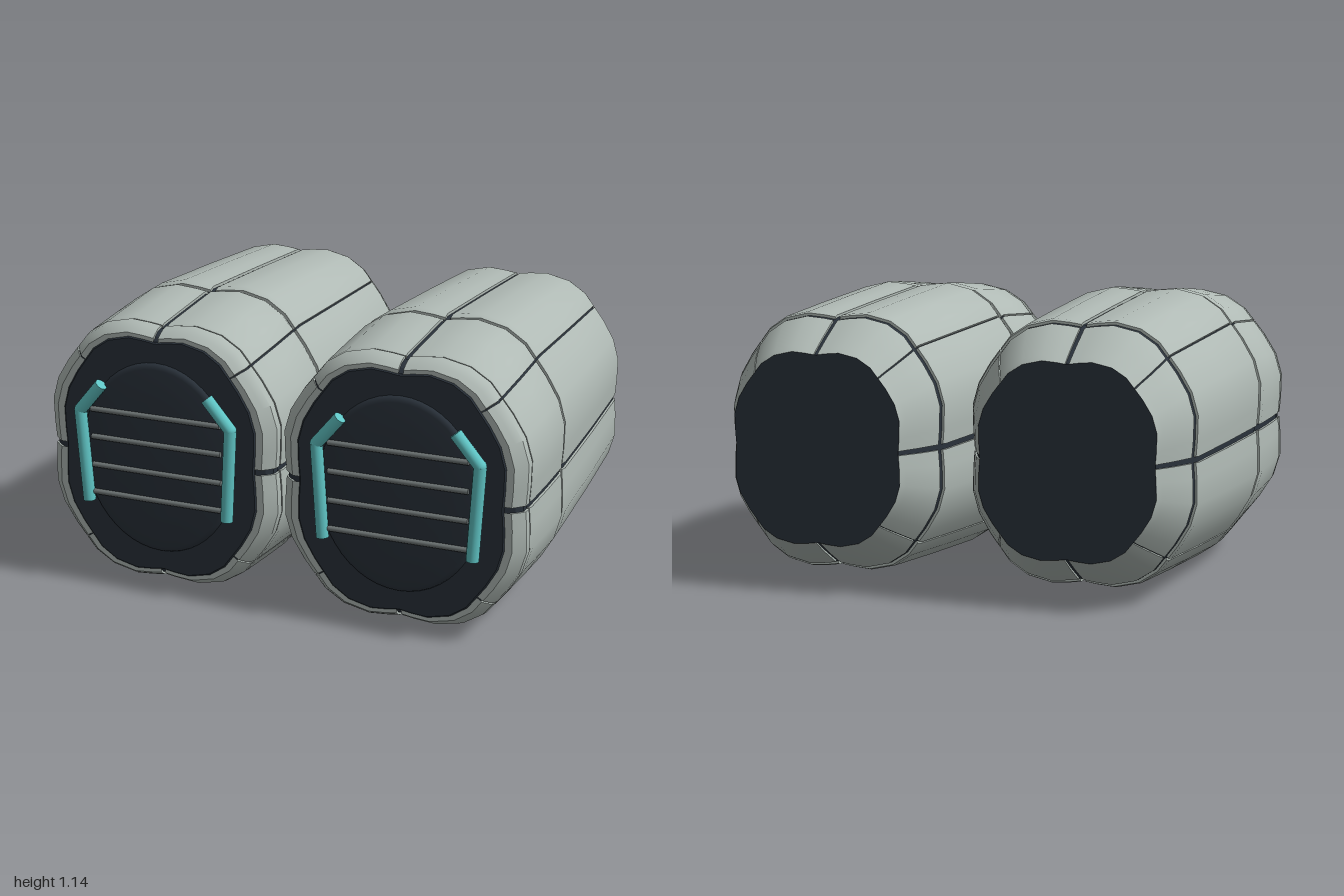
import * as THREE from 'three';
import { toCreasedNormals } from 'three/addons/utils/BufferGeometryUtils.js';

const mat = (name, color) => {
  const m = new THREE.MeshStandardMaterial({ color });
  m.name = name;
  return m;
};

// Two shell panels of a quarter outline, from top centre round to the side; ends tuck inwards
const UPPER = [[.022, .95], [.022, .975], [.12, .988], [.28, 1], [.5, .955], [.66, .862], [.744, .766], [.733, .752]];
const LOWER = [[.74, .738], [.754, .755], [.84, .655], [.945, .5], [1, .33], [.996, .15], [.985, .022], [.955, .022]];

// Shell bands from front to back: [z, half width, half height]
const BANDS = {
  frontRing: [[.782, .414, .484], [.782, .445, .502], [.765, .465, .515], [.742, .488, .528], [.712, .491, .535], [.706, .487, .531]],
  frontBand: [[.698, .488, .531], [.685, .493, .537], [.5, .496, .553], [.32, .495, .568], [.3, .488, .561]],
  mainBand: [[.277, .485, .561], [.25, .491, .57], [-.2, .474, .541], [-.6, .453, .512], [-.619, .445, .506]],
  tailBand: [[-.64, .434, .495], [-.655, .432, .488], [-.75, .392, .433], [-.81, .36, .395], [-.84, .345, .375]],
};

// Skin of quads over an outline (clockwise from the front) carried along the stations
function loft(outline, stations, crease) {
  const pos = [], index = [], n = outline.length;
  for (const [z, w, h] of stations) for (const [x, y] of outline) pos.push(x * w, y * h, z);
  for (let i = 0; i < stations.length - 1; i++) {
    for (let j = 0; j < n - 1; j++) {
      const a = i * n + j, b = a + 1, c = a + n, d = c + 1;
      index.push(a, b, c, b, d, c);
    }
  }
  const g = new THREE.BufferGeometry();
  g.setAttribute('position', new THREE.Float32BufferAttribute(pos, 3));
  g.setIndex(index);
  return toCreasedNormals(g, crease);
}

function mirrored(points, sx, sy) {
  const out = points.map(([x, y]) => [x * sx, y * sy]);
  return sx * sy < 0 ? out.reverse() : out;
}

const QUADRANTS = [[1, 1], [1, -1], [-1, -1], [-1, 1]];

export function createModel() {
  const shell = mat('pale grey shell', 0xb0bab5);
  const dark = mat('dark slate', 0x2a323b);
  const teal = mat('teal', 0x5fc4c4);
  const steel = mat('mid grey bars', 0x6c7373);

  const add = (parent, name, geometry, material) => {
    const m = new THREE.Mesh(geometry, material);
    m.name = name;
    parent.add(m);
    return m;
  };

  function createPod() {
    const pod = new THREE.Group();

    // Shell panels, eight to each band
    for (const [name, band] of Object.entries(BANDS)) {
      const tuck = ([z, w, h]) => [z, w * .95, h * .95];
      const stations = [tuck(band[0]), ...band, tuck(band[band.length - 1])];
      const group = new THREE.Group();
      group.name = name;
      for (const [sx, sy] of QUADRANTS) {
        for (const panel of [UPPER, LOWER]) {
          add(group, 'shellPanel', loft(mirrored(panel, sx, sy), stations, .65), shell);
        }
      }
      pod.add(group);
    }

    // Dark core seen through the seams, with its front plate and rear cap
    const quarter = [...UPPER.slice(1, -1), ...LOWER.slice(1, -1)];
    const outline = QUADRANTS.flatMap(([sx, sy]) => mirrored(quarter, sx, sy));
    outline.push(outline[0]);
    const inner = Object.values(BANDS).flat().slice(2, -1).map(([z, w, h]) => [z, w * .98, h * .98]);
    const core = [
      [.787, 0, 0], [.787, .41, .481], [.782, .416, .486], [.776, .416, .486],
      ...inner,
      [-.838, .338, .368], [-.839, .345, .376], [-.841, .345, .376], [-.841, 0, 0],
    ];
    add(pod, 'core', loft(outline, core, .5), dark);

    // Shallow domed intake disc
    const dome = [[1, 0], [.985, .012], [.94, .018], [.6, .023], [0, .025]].map(([r, y]) => new THREE.Vector2(r, y));
    const disc = new THREE.LatheGeometry(dome, 48);
    disc.rotateX(Math.PI / 2);
    disc.scale(.33, .393, 1);
    add(pod, 'intakeDisc', disc, dark).position.z = .785;

    // Horizontal grille bars
    for (const y of [.178, .063, -.055, -.17]) {
      const bar = new THREE.CylinderGeometry(.011, .011, .56, 10);
      bar.rotateZ(Math.PI / 2);
      add(pod, 'grilleBar', bar, steel).position.set(0, y, .811);
    }

    // Bent handles either side of the grille
    for (const s of [-1, 1]) {
      const points = [[.302, -.207], [.325, .17], [.228, .285]].map(([x, y]) => new THREE.Vector3(s * x, y, .815));
      const handle = new THREE.Group();
      handle.name = 'handle';
      for (let i = 0; i < 2; i++) {
        const dir = points[i + 1].clone().sub(points[i]);
        const rod = add(handle, 'handleRod', new THREE.CylinderGeometry(.025, .025, dir.length(), 14), teal);
        rod.position.copy(points[i]).addScaledVector(dir, .5);
        rod.quaternion.setFromUnitVectors(new THREE.Vector3(0, 1, 0), dir.normalize());
      }
      add(handle, 'handleElbow', new THREE.SphereGeometry(.025, 14, 10), teal).position.copy(points[1]);
      pod.add(handle);
    }
    return pod;
  }

  const model = new THREE.Group();
  model.name = 'twinPods';
  for (const [name, x] of [['rightPod', -.504], ['leftPod', .504]]) {
    const pod = createPod();
    pod.name = name;
    pod.position.set(x, .57, 0);
    model.add(pod);
  }
  return model;
}
